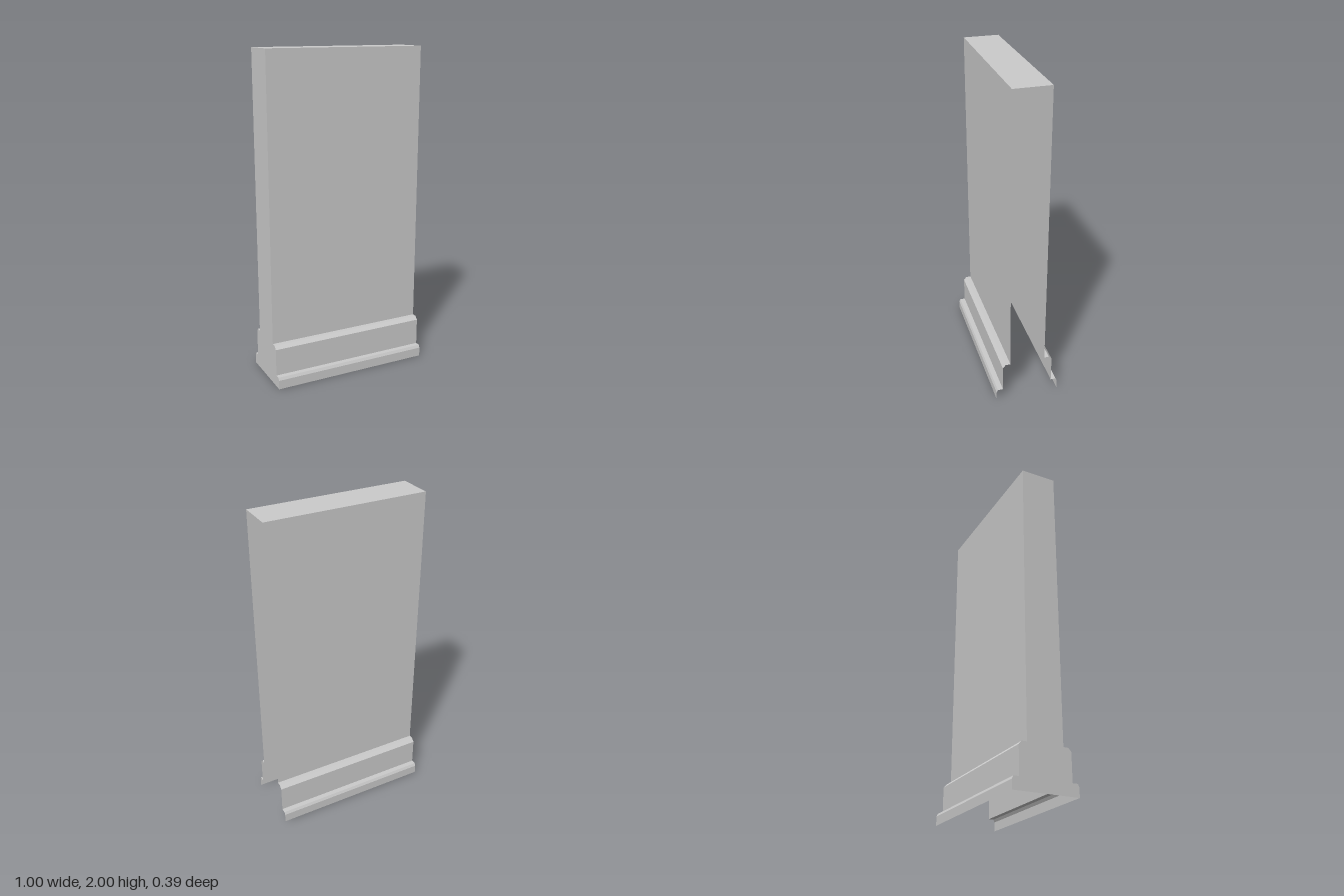
import * as THREE from 'three';

const HALF = 0.5; // half the length along x

const material = new THREE.MeshStandardMaterial({
  color: 0xcccccc,
  side: THREE.DoubleSide,
  flatShading: true,
});

// Open sheet: a [z, y] profile swept along x, one flat quad per segment
function sheet(name, profile) {
  const positions = [];
  for (let i = 0; i < profile.length - 1; i++) {
    const [pz, py] = profile[i];
    const [qz, qy] = profile[i + 1];
    const a = [-HALF, py, pz], b = [HALF, py, pz];
    const c = [HALF, qy, qz], d = [-HALF, qy, qz];
    positions.push(...a, ...b, ...c, ...a, ...c, ...d);
  }
  const geometry = new THREE.BufferGeometry();
  geometry.setAttribute('position', new THREE.Float32BufferAttribute(positions, 3));
  geometry.computeVertexNormals();
  const mesh = new THREE.Mesh(geometry, material);
  mesh.name = name;
  return mesh;
}

export function createModel() {
  const group = new THREE.Group();
  group.name = 'wallSection';

  // Front profiles, from the floor upwards
  const base = [[0.197, 0], [0.197, 0.056], [0.189, 0.073], [0.157, 0.073]];
  const skirting = [[0.157, 0.073], [0.157, 0.24], [0.139, 0.26], [0.109, 0.26]];
  const panel = [[0.109, 0.26], [0.109, 2]];
  const mirror = (profile) => profile.map(([z, y]) => [-z, y]).reverse();

  // Matching mouldings and panels on the front and the back
  const parts = { BaseMoulding: base, Skirting: skirting, Panel: panel };
  for (const [name, profile] of Object.entries(parts)) {
    group.add(sheet('front' + name, profile));
    group.add(sheet('back' + name, mirror(profile)));
  }

  // Closed top; the underside and the +x end stay open
  group.add(sheet('topFace', [[0.109, 2], [-0.109, 2]]));

  // End cap at -x, following the whole profile
  const front = [...base, ...skirting.slice(1), ...panel.slice(1)];
  const outline = [...front, ...mirror(front)].map(([z, y]) => new THREE.Vector2(z, y));
  const cap = new THREE.Mesh(new THREE.ShapeGeometry(new THREE.Shape(outline)), material);
  cap.name = 'endCap';
  cap.rotation.y = -Math.PI / 2;
  cap.position.x = -HALF;
  group.add(cap);

  return group;
}
